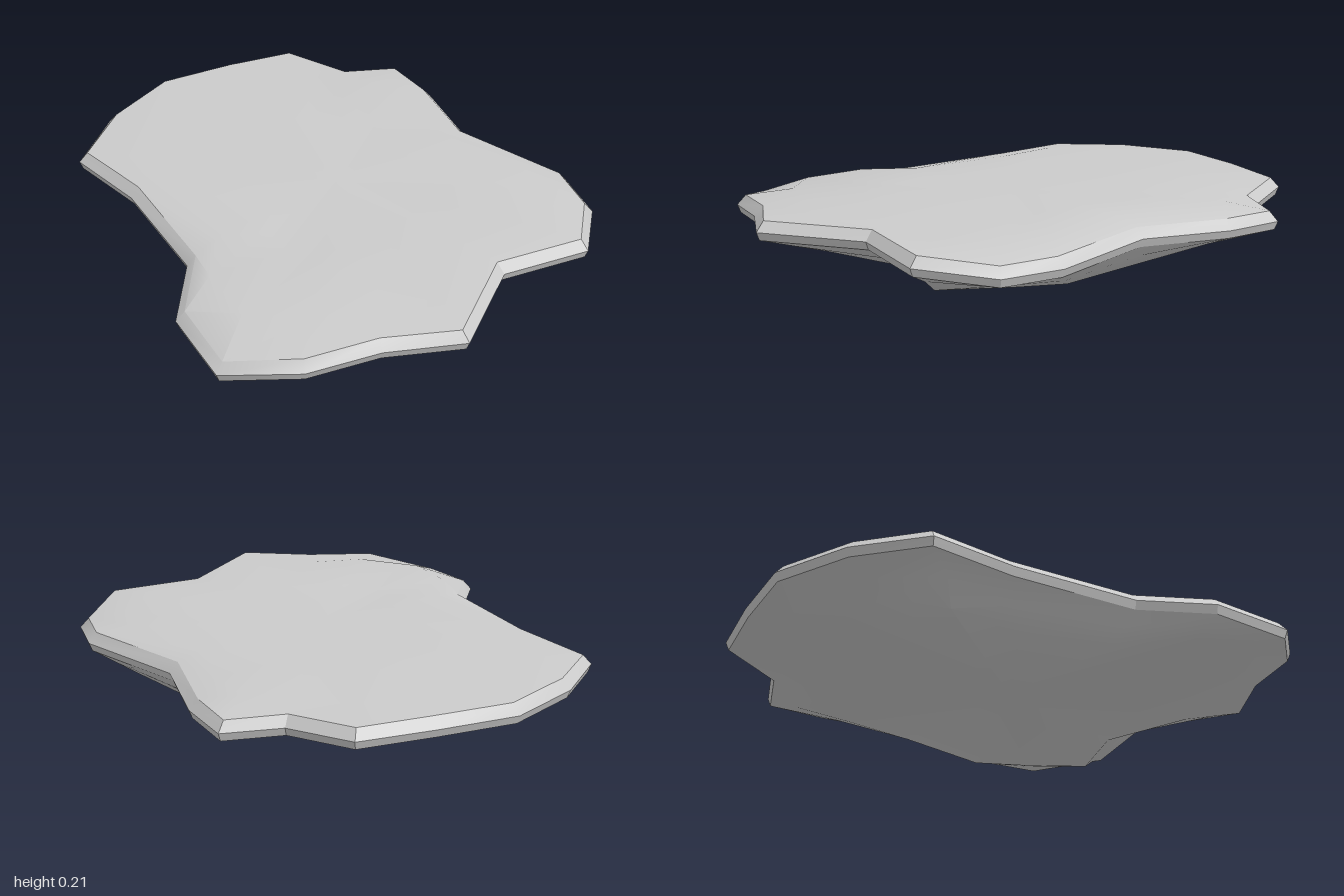
import * as THREE from 'three';
import { toCreasedNormals } from 'three/addons/utils/BufferGeometryUtils.js';

// Each row: rim x, z, height, underside x, z, height, optional undercut (0.5 = straight wall),
// listed clockwise from the back tip
const STATIONS = [
  [0.155, -1.0, 0.165, 0.1, -0.75, 0.1],
  [0.33, -0.8, 0.15, 0.25, -0.65, 0.08],
  [0.54, -0.77, 0.14, 0.41, -0.6, 0.075],
  [0.595, -0.55, 0.14, 0.44, -0.47, 0.045],
  [0.6, -0.21, 0.145, 0.47, -0.24, 0.018],
  [0.83, 0.18, 0.14, 0.67, 0.1, 0.04],
  [0.835, 0.4, 0.13, 0.63, 0.28, 0.037, 0.55],
  [0.69, 0.65, 0.155, 0.55, 0.52, 0.032, 0.55],
  [0.355, 0.69, 0.165, 0.3, 0.52, 0.045],
  [0.095, 0.995, 0.165, 0.07, 0.75, 0.07],
  [-0.18, 0.935, 0.155, -0.15, 0.77, 0.07],
  [-0.44, 0.935, 0.14, -0.38, 0.77, 0.07],
  [-0.69, 0.795, 0.095, -0.6, 0.66, 0.055],
  [-0.745, 0.51, 0.12, -0.64, 0.48, 0.04],
  [-0.635, 0.26, 0.15, -0.52, 0.22, 0.028],
  [-0.715, -0.2, 0.16, -0.52, -0.12, 0.018],
  [-0.835, -0.51, 0.155, -0.66, -0.4, 0.0, 0.78],
  [-0.66, -0.75, 0.165, -0.55, -0.58, 0.06],
  [-0.41, -0.935, 0.17, -0.35, -0.7, 0.09],
  [-0.12, -0.98, 0.17, -0.1, -0.74, 0.1],
];
const N = STATIONS.length;

// Rim ring moved inwards by d and raised by dy
function rimRing(d, dy) {
  return STATIONS.map(([x, z, y], i) => {
    const p = STATIONS[(i + N - 1) % N], n = STATIONS[(i + 1) % N];
    const tx = n[0] - p[0], tz = n[1] - p[1], len = Math.hypot(tx, tz);
    return [x - (tz / len) * d, y + dy, z + (tx / len) * d];
  });
}

// Top surface ring: outline shrunk by s at a near-level height
function topRing(s, y) {
  return STATIONS.map(([x, z, rim]) => [x * s, y + (rim - 0.15) * 0.2, z * s]);
}

// Ring halfway down the underside wall; the undercut pushes it inwards and up
function wallRing() {
  return rimRing(0.012, -0.03).map(([x, y, z], i) => {
    const [, , , bx, bz, by, cut = 0.5] = STATIONS[i];
    return [x + (bx - x) * cut, y + (by - y) * (1 - cut), z + (bz - z) * cut];
  });
}

// All stations share one point, which closes a surface
const centre = (x, y, z) => Array(N).fill([x, y, z]);

// Join successive rings into a surface; shared points get a single triangle
function skin(rings, crease) {
  const pos = [];
  for (let r = 0; r < rings.length - 1; r++) {
    for (let i = 0; i < N; i++) {
      const j = (i + 1) % N;
      const a = rings[r][i], b = rings[r][j], c = rings[r + 1][i], d = rings[r + 1][j];
      if (a !== b) pos.push(...a, ...b, ...d);
      if (c !== d) pos.push(...a, ...d, ...c);
    }
  }
  const geo = new THREE.BufferGeometry();
  geo.setAttribute('position', new THREE.Float32BufferAttribute(pos, 3));
  return toCreasedNormals(geo, crease);
}

export function createModel() {
  const group = new THREE.Group();
  group.name = 'flatStone';
  const material = new THREE.MeshStandardMaterial({ color: 0xcccccc });
  const add = (name, rings, crease) => {
    const mesh = new THREE.Mesh(skin(rings, crease), material);
    mesh.name = name;
    group.add(mesh);
  };

  // level top with a bevelled rim
  add('topAndRim', [
    centre(0, 0.208, 0),
    topRing(0.45, 0.209),
    topRing(0.8, 0.205),
    rimRing(0.032, 0.036),
    rimRing(0, 0),
    rimRing(0.012, -0.03),
  ], 0.55);

  // smooth belly, deepest towards the back corner
  add('underside', [
    rimRing(0.012, -0.03),
    wallRing(),
    STATIONS.map(([, , , x, z, y]) => [x, y, z]),
    centre(-0.05, 0.017, 0),
  ], 1.3);
  return group;
}
